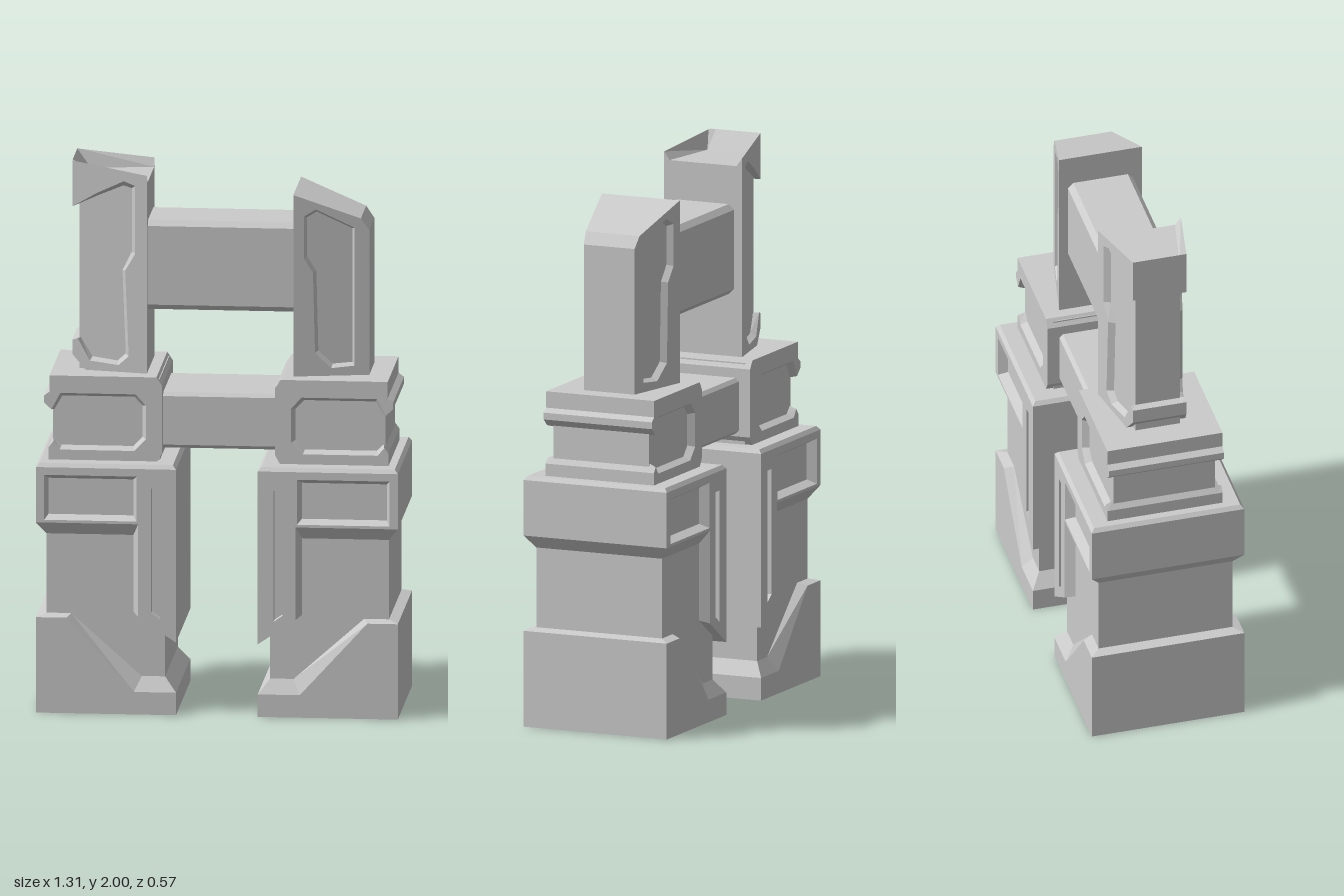
import * as THREE from 'three';

const material = new THREE.MeshStandardMaterial({ color: 0xcccccc, flatShading: true });

function mesh(name, geometry) {
  const g = geometry.index ? geometry.toNonIndexed() : geometry;
  g.computeVertexNormals();
  const m = new THREE.Mesh(g, material);
  m.name = name;
  return m;
}

// Prism along z with sloped front and back edges. Each point is [x, y] or
// [x, y, deepX, deepY]: its place on the face and on the deeper layer behind it.
// face and deep give the half depth of each layer at x.
function prism(name, points, holes, face, deep) {
  const toVectors = (list) => list.map((p) => new THREE.Vector2(p[0], p[1]));
  const shape = new THREE.Shape(toVectors(points));
  shape.holes = holes.map((h) => new THREE.Path(toVectors(h)));
  const geometry = new THREE.ExtrudeGeometry(shape, { depth: 3, steps: 3, bevelEnabled: false });
  const all = [points, ...holes].flat();
  const pos = geometry.attributes.position;
  for (let i = 0; i < pos.count; i++) {
    let x = pos.getX(i), y = pos.getY(i);
    const layer = Math.round(pos.getZ(i));
    const isDeep = layer === 1 || layer === 2;
    if (isDeep) {
      const p = all.find((q) => Math.abs(q[0] - x) < 1e-4 && Math.abs(q[1] - y) < 1e-4);
      if (p && p.length === 4) [, , x, y] = p;
    }
    pos.setXYZ(i, x, y, (layer < 1.5 ? -1 : 1) * (isDeep ? deep(x) : face(x)));
  }
  return mesh(name, geometry);
}

// Box whose top face is drawn in by inset
function block(name, x0, x1, y0, y1, halfZ, inset = 0) {
  const g = new THREE.BoxGeometry(x1 - x0, y1 - y0, halfZ * 2);
  const pos = g.attributes.position;
  for (let i = 0; i < pos.count; i++) {
    if (pos.getY(i) < 0) continue;
    pos.setX(i, pos.getX(i) - Math.sign(pos.getX(i)) * inset);
    pos.setZ(i, pos.getZ(i) - Math.sign(pos.getZ(i)) * inset);
  }
  g.translate((x0 + x1) / 2, (y0 + y1) / 2, 0);
  return mesh(name, g);
}

// Chamfered beam along x between the two towers
function beam(name, halfX, y0, y1, z, c) {
  const s = new THREE.Shape([
    [-z + c, y0], [z - c, y0], [z, y0 + c], [z, y1 - c],
    [z - c, y1], [-z + c, y1], [-z, y1 - c], [-z, y0 + c],
  ].map(([a, b]) => new THREE.Vector2(a, b)));
  const g = new THREE.ExtrudeGeometry(s, { depth: halfX * 2, bevelEnabled: false });
  g.translate(0, 0, -halfX);
  g.rotateY(Math.PI / 2);
  return mesh(name, g);
}

function makeLeg() {
  const leg = new THREE.Group();
  leg.name = 'leg';
  const face = () => 0.285, deep = () => 0.25;
  leg.add(block('legCore', 0.19, 0.62, 0.05, 0.9, 0.25));

  // Foot with a sloping, bevelled upper edge
  leg.add(prism('foot', [
    [0.148, 0], [0.655, 0], [0.655, 0.352], [0.654, 0.352, 0.62, 0.362],
    [0.545, 0.352, 0.53, 0.362], [0.30, 0.083, 0.275, 0.135],
    [0.149, 0.083, 0.19, 0.135], [0.148, 0.083],
  ], [], face, deep));

  // Upper shell with a hanging inner strip, a window and a slot
  const window = [
    [0.29, 0.712, 0.305, 0.727], [0.625, 0.712, 0.612, 0.727],
    [0.625, 0.878, 0.612, 0.86], [0.29, 0.878, 0.305, 0.86],
  ];
  const slot = [[0.205, 0.352], [0.238, 0.375], [0.238, 0.835], [0.205, 0.835]];
  leg.add(prism('legShell', [
    [0.148, 0.268], [0.285, 0.36, 0.305, 0.372], [0.285, 0.702, 0.305, 0.655],
    [0.654, 0.702, 0.62, 0.655], [0.655, 0.702], [0.655, 0.906], [0.148, 0.906],
  ], [window, slot], face, deep));
  leg.add(block('legCap', 0.148, 0.655, 0.906, 0.92, 0.285, 0.012));
  return leg;
}

function makeJoint() {
  const joint = new THREE.Group();
  joint.name = 'joint';
  joint.add(block('jointCore', 0.215, 0.602, 0.92, 1.22, 0.19));
  // C-shaped frame around a recess that opens to the outside, with an outer rail
  joint.add(prism('jointFrame', [
    [0.205, 0.95], [0.225, 0.915], [0.615, 0.915], [0.615, 0.965], [0.60, 0.985, 0.595, 0.995],
    [0.575, 0.957, 0.57, 0.97], [0.305, 0.957, 0.31, 0.97], [0.263, 1.0, 0.277, 1.005],
    [0.263, 1.125, 0.277, 1.12], [0.30, 1.166, 0.307, 1.152], [0.573, 1.166, 0.567, 1.152],
    [0.605, 1.105, 0.597, 1.10], [0.632, 1.13], [0.632, 1.155], [0.612, 1.17],
    [0.612, 1.23], [0.225, 1.23], [0.205, 1.2],
  ], [], () => 0.215, () => 0.19));
  return joint;
}

// Pillars narrow in depth towards their outer side
const pillarFace = (x) => 0.155 - 0.2 * (x - 0.265);
const pillarDeep = (x) => pillarFace(x) - 0.022;

function makeSlopedPillar() {
  const g = new THREE.Group();
  g.name = 'slopedPillar';
  const panel = [
    [0.303, 1.82, 0.312, 1.812], [0.345, 1.845, 0.346, 1.833], [0.482, 1.775, 0.474, 1.768],
    [0.482, 1.265, 0.474, 1.275], [0.40, 1.258, 0.403, 1.27], [0.342, 1.315, 0.352, 1.32],
    [0.335, 1.61, 0.345, 1.613], [0.303, 1.665, 0.312, 1.67],
  ];
  g.add(prism('slopedPillarShell', [
    [0.265, 1.22], [0.535, 1.22], [0.535, 1.765], [0.505, 1.808], [0.265, 1.9],
  ], [panel], pillarFace, pillarDeep));
  g.add(prism('slopedPillarCore', [
    [0.28, 1.22], [0.52, 1.22], [0.52, 1.75], [0.49, 1.79], [0.28, 1.86],
  ], [], pillarDeep, pillarDeep));
  return g;
}

function makeHookedPillar() {
  const g = new THREE.Group();
  g.name = 'hookedPillar';
  // Shell with a side recess open to the outside and a sunken top
  g.add(prism('hookedPillarShell', [
    [0.265, 1.22], [0.48, 1.22], [0.54, 1.285], [0.54, 1.338], [0.52, 1.345, 0.51, 1.345],
    [0.475, 1.265, 0.467, 1.277], [0.37, 1.255, 0.375, 1.267], [0.332, 1.29, 0.345, 1.295],
    [0.345, 1.605, 0.357, 1.603], [0.308, 1.67, 0.322, 1.673], [0.308, 1.92, 0.322, 1.907],
    [0.35, 1.935, 0.353, 1.915], [0.45, 1.885, 0.448, 1.872], [0.54, 1.83], [0.54, 2.0],
    [0.53, 1.9985, 0.49, 1.932], [0.265, 1.96, 0.265, 1.93],
  ], [], pillarFace, pillarDeep));
  g.add(prism('hookedPillarCore', [
    [0.27, 1.22], [0.515, 1.22], [0.515, 1.925], [0.27, 1.925],
  ], [], pillarDeep, pillarDeep));
  return g;
}

export function createModel() {
  const model = new THREE.Group();
  model.name = 'gateTowers';
  // Front and back match, so a half turn mirrors a tower
  for (const turn of [0, Math.PI]) {
    const tower = new THREE.Group();
    tower.name = turn ? 'rightTower' : 'leftTower';
    tower.add(makeLeg(), makeJoint(), turn ? makeHookedPillar() : makeSlopedPillar());
    tower.rotation.y = turn;
    model.add(tower);
  }
  model.add(beam('lowerBeam', 0.22, 0.96, 1.165, 0.17, 0.013));
  model.add(beam('upperBeam', 0.28, 1.458, 1.788, 0.122, 0.02));
  return model;
}
